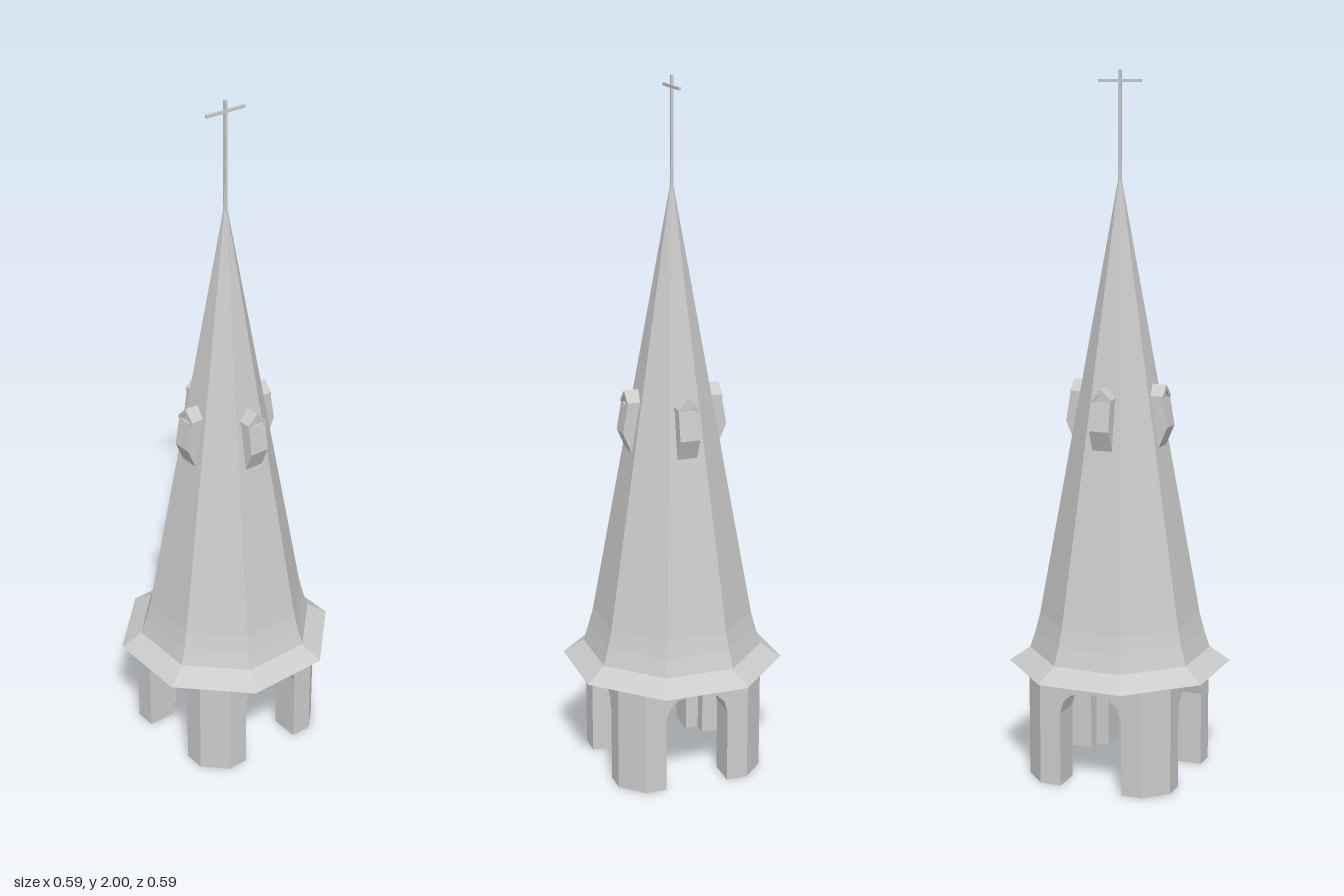
import * as THREE from 'three';

const material = new THREE.MeshStandardMaterial({ color: 0xcccccc, flatShading: true, side: THREE.DoubleSide });

function addMesh(parent, name, geometry) {
  const mesh = new THREE.Mesh(geometry, material);
  mesh.name = name;
  parent.add(mesh);
  return mesh;
}

function extrude(points, depth) {
  const shape = new THREE.Shape(points.map(([x, y]) => new THREE.Vector2(x, y)));
  return new THREE.ExtrudeGeometry(shape, { depth, bevelEnabled: false });
}

// Eight-sided shell from [apothem, y] pairs, with flat sides facing the axes
function octagon(profile) {
  const pts = profile.map(([a, y]) => new THREE.Vector2(a / Math.cos(Math.PI / 8), y));
  return new THREE.LatheGeometry(pts, 8).rotateY(Math.PI / 8);
}

const OUT = 0.217, OPEN = 0.093, THICK = 0.085, EAVE = 0.32;

// One side of the belfry: a corner pier and an arch head
function createBay() {
  const bay = new THREE.Group();
  const inner = OUT - THICK;
  const pier = extrude([
    [OPEN, OUT], [0.155, OUT], [OUT, 0.155], [OUT, OPEN],
    [inner, OPEN], [inner, inner], [OPEN, inner],
  ], EAVE).rotateX(Math.PI / 2).translate(0, EAVE, 0);
  addMesh(bay, 'cornerPier', pier);

  const arch = extrude([
    [-OPEN, EAVE], [-OPEN, 0.215], [-0.083, 0.25], [-0.06, 0.272], [-0.03, 0.282],
    [0.03, 0.282], [0.06, 0.272], [0.083, 0.25], [OPEN, 0.215], [OPEN, EAVE],
  ], THICK).translate(0, 0, inner);
  addMesh(bay, 'archHead', arch);
  return bay;
}

// Small gabled dormer with a leaning front and a sloping underside
function createDormer() {
  const dormer = new THREE.Group();
  const body = extrude([
    [0.09, 0.96], [0.128, 0.96], [0.154, 1.02], [0.14, 1.1], [0.09, 1.1],
  ], 0.058).rotateY(-Math.PI / 2).translate(0.029, 0, 0);
  addMesh(dormer, 'dormerBody', body);
  addMesh(dormer, 'dormerGable', extrude([[-0.029, 1.1], [0.029, 1.1], [0, 1.128]], 0.05).translate(0, 0, 0.085));
  addMesh(dormer, 'dormerRoof', extrude([
    [-0.031, 1.097], [-0.025, 1.097], [0, 1.125], [0.025, 1.097],
    [0.031, 1.097], [0.031, 1.108], [0, 1.138], [-0.031, 1.108],
  ], 0.06).translate(0, 0, 0.081));
  return dormer;
}

export function createModel() {
  const model = new THREE.Group();
  model.name = 'spire';

  // Open belfry and dormers repeat on four sides
  for (let i = 0; i < 4; i++) {
    const bay = createBay();
    bay.name = 'belfryBay' + (i + 1);
    const dormer = createDormer();
    dormer.name = 'dormer' + (i + 1);
    bay.rotation.y = dormer.rotation.y = i * Math.PI / 2;
    model.add(bay, dormer);
  }

  // Projecting eave with flat underside
  addMesh(model, 'eave', octagon([[0, EAVE], [0.295, EAVE], [0.24, 0.36]]));

  // Slightly flared foot, then the straight tapering roof
  addMesh(model, 'spireRoof', octagon([[0.24, 0.36], [0.225, 0.41], [0.213, 0.46], [0.005, 1.7], [0, 1.7]]));

  // Finial
  addMesh(model, 'finialSocket', new THREE.CylinderGeometry(0.005, 0.006, 0.09, 8).translate(0, 1.71, 0));
  addMesh(model, 'finialRod', new THREE.BoxGeometry(0.008, 0.32, 0.008).translate(0, 1.84, 0));
  addMesh(model, 'finialCrossbar', new THREE.BoxGeometry(0.126, 0.008, 0.008).translate(0, 1.97, 0));

  return model;
}
